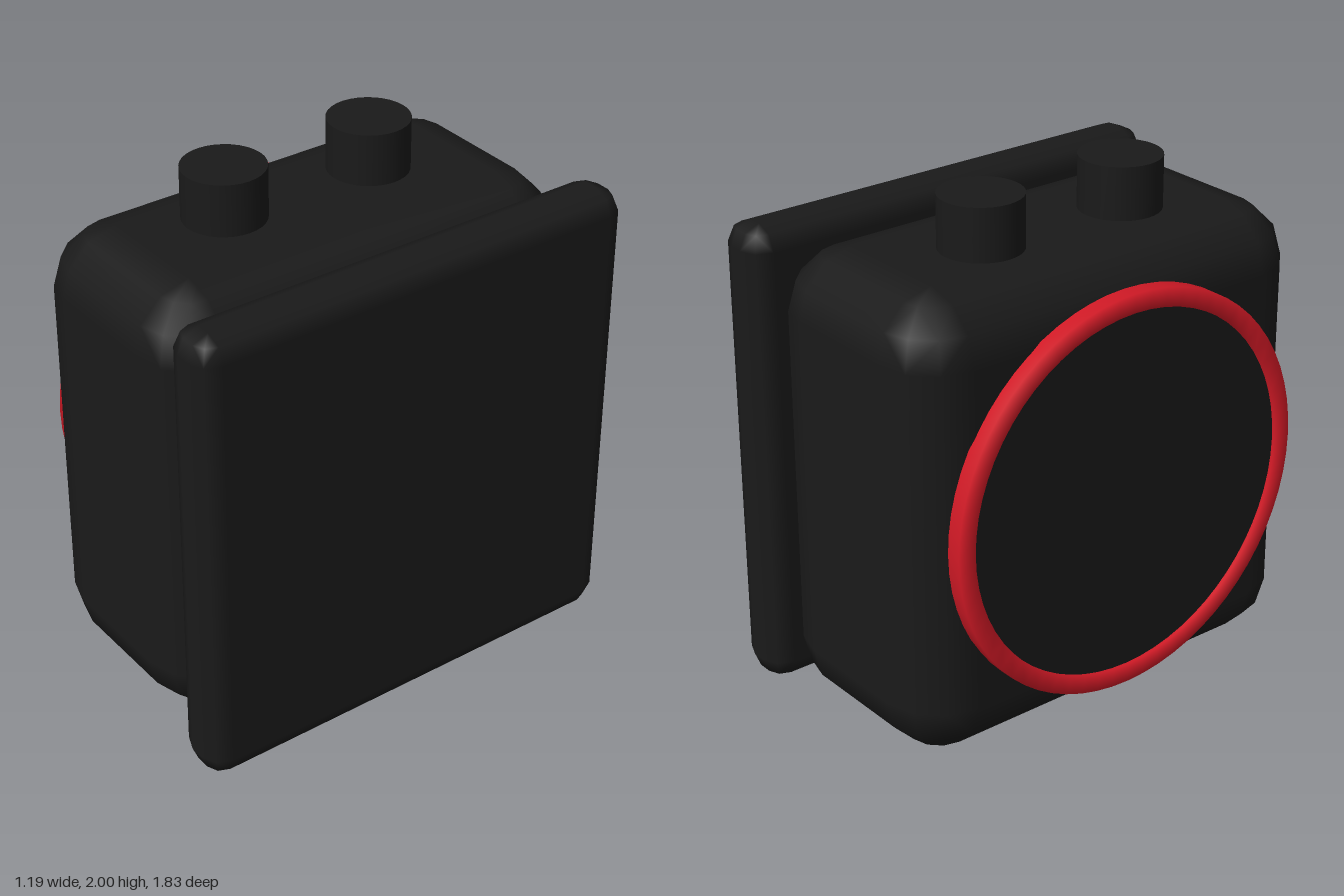
import * as THREE from 'three';
import { ConvexGeometry } from 'three/addons/geometries/ConvexGeometry.js';

// Box with edges and corners rounded in a few steps, smooth normals
function bevelledBox(w, h, d, r, steps) {
  const inner = new THREE.Vector3(w / 2 - r, h / 2 - r, d / 2 - r);
  const points = [];
  for (const sx of [-1, 1]) for (const sy of [-1, 1]) for (const sz of [-1, 1]) {
    for (let i = 0; i <= steps; i++) for (let j = 0; j <= (i === steps ? 0 : steps); j++) {
      const a = i * Math.PI / 2 / steps, b = j * Math.PI / 2 / steps;
      points.push(new THREE.Vector3(
        sx * (inner.x + r * Math.cos(a) * Math.cos(b)),
        sy * (inner.y + r * Math.sin(a)),
        sz * (inner.z + r * Math.cos(a) * Math.sin(b))));
    }
  }
  const geometry = new ConvexGeometry(points);
  // Normals point away from the inner box, so the flat sides stay flat
  const pos = geometry.attributes.position, normal = geometry.attributes.normal;
  const p = new THREE.Vector3(), core = new THREE.Vector3(), low = inner.clone().negate();
  for (let i = 0; i < pos.count; i++) {
    p.fromBufferAttribute(pos, i);
    core.copy(p).clamp(low, inner);
    p.sub(core).normalize();
    normal.setXYZ(i, p.x, p.y, p.z);
  }
  return geometry;
}

export function createModel() {
  const group = new THREE.Group();
  const black = new THREE.MeshStandardMaterial({ color: 0x1a1a1a });
  black.name = 'black casing';
  const red = new THREE.MeshStandardMaterial({ color: 0xe01c29 });
  red.name = 'red trim';

  const add = (name, geometry, material, x, y, z) => {
    const mesh = new THREE.Mesh(geometry, material);
    mesh.name = name;
    mesh.position.set(x, y, z);
    group.add(mesh);
  };

  // Main body and the larger plate beside it
  add('body', bevelledBox(0.913, 1.767, 1.77, 0.23, 3), black, -0.0865, 0.916, 0);
  add('sidePlate', bevelledBox(0.225, 1.83, 1.826, 0.085, 2), black, 0.4825, 0.915, 0);

  // Two knobs on top, sunk into the body
  for (const side of [-1, 1]) {
    add(side < 0 ? 'backKnob' : 'frontKnob',
      new THREE.CylinderGeometry(0.155, 0.155, 0.3, 32), black, -0.145, 1.85, side * 0.315);
  }

  // Ring of square section with softened shading; its seam lies against the body
  const section = [[0.736, -0.03], [0.772, -0.03], [0.772, 0.03], [0.7, 0.03], [0.7, -0.03], [0.736, -0.03]]
    .map(([r, y]) => new THREE.Vector2(r, y));
  const ringGeometry = new THREE.LatheGeometry(section, 64);
  ringGeometry.rotateZ(Math.PI / 2);
  add('ring', ringGeometry, red, -0.567, 0.917, 0);

  // Dark face filling the ring, almost flush with its rim
  const faceGeometry = new THREE.CylinderGeometry(0.705, 0.705, 0.06, 64);
  faceGeometry.rotateZ(Math.PI / 2);
  add('ringFace', faceGeometry, black, -0.556, 0.917, 0);

  return group;
}
